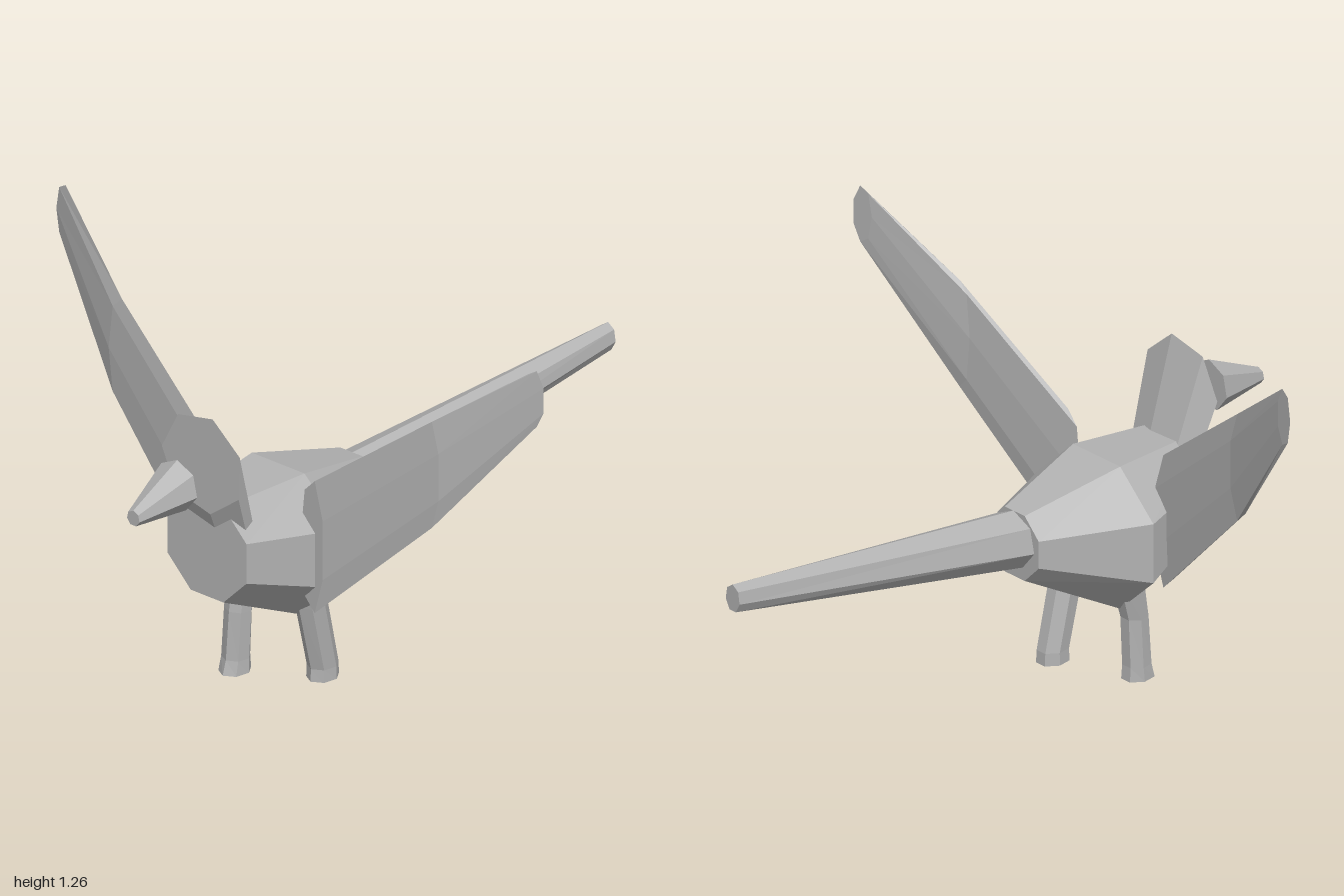
import * as THREE from 'three';

const gray = new THREE.MeshStandardMaterial({ color: 0xb2b2b2, flatShading: true });
gray.name = 'plain gray';

// Closed faceted solid through a list of equally sized rings of points
function loft(name, rings) {
  const n = rings[0].length, pos = [];
  const tri = (a, b, c) => pos.push(...a, ...b, ...c);
  for (let i = 0; i < rings.length - 1; i++) {
    const a = rings[i], b = rings[i + 1];
    for (let j = 0; j < n; j++) {
      const k = (j + 1) % n;
      tri(a[j], a[k], b[k]);
      tri(a[j], b[k], b[j]);
    }
  }
  const first = rings[0], last = rings[rings.length - 1];
  for (let j = 1; j < n - 1; j++) {
    tri(first[0], first[j + 1], first[j]);
    tri(last[0], last[j], last[j + 1]);
  }
  // Turn the faces outward if the enclosed volume is negative
  let volume = 0;
  const p = pos.length / 9;
  const v = (i) => new THREE.Vector3().fromArray(pos, i * 3);
  for (let t = 0; t < p; t++) volume += v(t * 3).dot(v(t * 3 + 1).cross(v(t * 3 + 2)));
  if (volume < 0) {
    for (let t = 0; t < p; t++) {
      for (let c = 0; c < 3; c++) {
        const i = t * 9 + 3 + c;
        [pos[i], pos[i + 3]] = [pos[i + 3], pos[i]];
      }
    }
  }
  const geo = new THREE.BufferGeometry();
  geo.setAttribute('position', new THREE.Float32BufferAttribute(pos, 3));
  geo.computeVertexNormals();
  const mesh = new THREE.Mesh(geo, gray);
  mesh.name = name;
  return mesh;
}

// Ring of points around a centre; u and v are the two half-axis vectors
function ring([cx, cy, cz], u, v, sides = 7, startDeg = 90) {
  return Array.from({ length: sides }, (_, i) => {
    const a = THREE.MathUtils.degToRad(startDeg + (i * 360) / sides);
    const c = Math.cos(a), s = Math.sin(a);
    return [cx + u[0] * c + v[0] * s, cy + u[1] * c + v[1] * s, cz + u[2] * c + v[2] * s];
  });
}
const upright = (c, rx, ry, sides, start) => ring(c, [rx, 0, 0], [0, ry, 0], sides, start);
const level = (c, rx, rz) => ring(c, [rx, 0, 0], [0, 0, rz], 7, 90);

export function createModel() {
  const model = new THREE.Group();
  model.name = 'bird';

  // Octagonal body, widest in the middle
  const k = 1 / Math.cos(Math.PI / 8);
  model.add(loft('body', [
    upright([0, 0.525, 0.67], 0.155 * k, 0.155 * k, 8, 22.5),
    upright([0, 0.46, 0.36], 0.25 * k, 0.23 * k, 8, 22.5),
    upright([0, 0.505, 0.04], 0.105 * k, 0.105 * k, 8, 22.5),
  ]));

  // Head rises from inside the chest to a flat face
  model.add(loft('head', [
    upright([0, 0.81, 0.69], 0.16, 0.16, 7, 75.5),
    upright([0, 0.555, 0.6], 0.132, 0.13, 7, 75.5),
  ]));

  // Beak floats ahead of the face
  model.add(loft('beak', [
    upright([0, 0.78, 0.8], 0.08, 0.08),
    upright([0.007, 0.745, 1], 0.025, 0.025),
  ]));

  // Long tail, drifting slightly sideways
  model.add(loft('tail', [
    upright([0.005, 0.52, 0.05], 0.094, 0.09),
    upright([0.072, 0.633, -1], 0.031, 0.045),
  ]));

  // Thin two-section wings
  for (const side of [1, -1]) {
    const section = (x, y, z, rx, ry, rz) =>
      ring([side * x, y, z], [rx, 0, side * rz], [0, ry, 0], 7, 180);
    model.add(loft(side > 0 ? 'leftWing' : 'rightWing', [
      section(0.21, 0.52, 0.445, 0.05, 0.22, 0.004),
      section(0.61, 0.86, 0.375, 0.04, 0.177, 0.003),
      section(0.925, 1.17, 0.268, 0.035, 0.093, -0.006),
    ]));
  }

  // Legs with a small foot block; the left one slants back
  model.add(loft('rightLeg', [
    level([-0.118, 0, 0.417], 0.045, 0.054),
    level([-0.118, 0.045, 0.412], 0.043, 0.045),
    level([-0.115, 0.2, 0.405], 0.043, 0.042),
    level([-0.115, 0.34, 0.375], 0.05, 0.05),
  ]));
  model.add(loft('leftLeg', [
    level([0.113, 0.01, 0.29], 0.045, 0.054),
    level([0.113, 0.05, 0.29], 0.044, 0.052),
    level([0.117, 0.27, 0.345], 0.045, 0.054),
    level([0.117, 0.34, 0.36], 0.05, 0.055),
  ]));

  return model;
}
